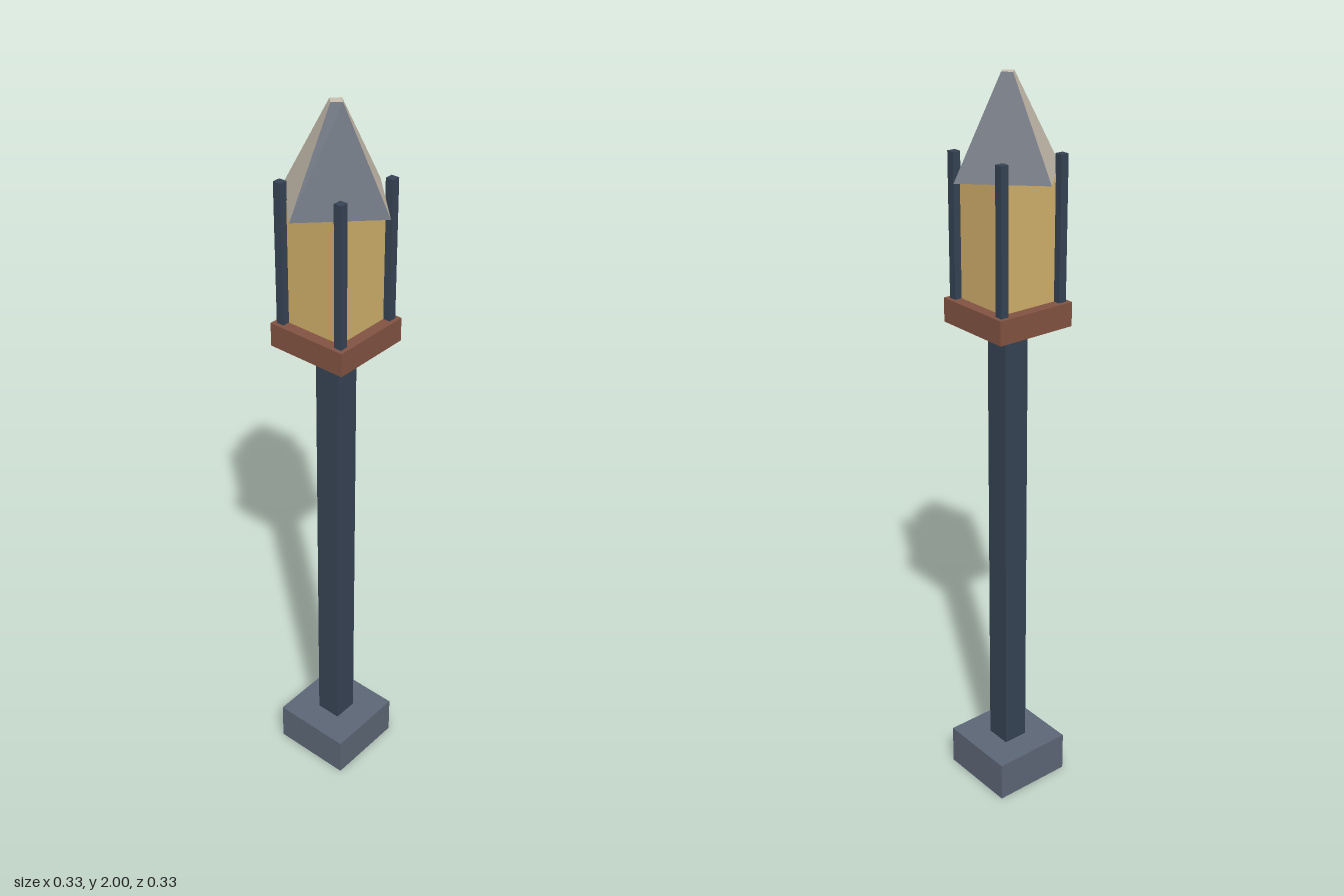
import * as THREE from 'three';

const mat = (name, color) => {
  const m = new THREE.MeshStandardMaterial({ color });
  m.name = name;
  return m;
};

export function createModel() {
  const navy = mat('navy', 0x364354);
  const stone = mat('slate stone', 0x5c6675);
  const brown = mat('brown', 0x815342);
  const amber = mat('amber glass', 0xcfae6a);
  const cream = mat('cream', 0xc8bfaf);

  const lamp = new THREE.Group();
  lamp.name = 'lampPost';

  // Square block centred on (x, z), spanning y0 to y1
  const block = (name, material, width, y0, y1, x = 0, z = 0) => {
    const mesh = new THREE.Mesh(new THREE.BoxGeometry(width, y1 - y0, width), material);
    mesh.name = name;
    mesh.position.set(x, (y0 + y1) / 2, z);
    lamp.add(mesh);
  };

  block('base', stone, 0.228, 0.001, 0.115);
  block('post', navy, 0.072, 0, 1.38);
  block('lanternFloor', brown, 0.228, 1.376, 1.44);
  block('lanternGlass', amber, 0.166, 1.44, 1.762);

  // Corner rods of the lantern
  for (const x of [-0.092, 0.092])
    for (const z of [-0.092, 0.092]) block('cornerRod', navy, 0.022, 1.44, 1.811, x, z);

  // Truncated pyramid roof turned as a diamond, sides alternating in colour
  const roofGeo = new THREE.CylinderGeometry(0.02, 0.163, 0.24, 4).toNonIndexed();
  roofGeo.computeVertexNormals();
  roofGeo.clearGroups();
  for (let i = 0; i < 4; i++) roofGeo.addGroup(i * 6, 6, i % 2);
  roofGeo.addGroup(24, 12, 1); // top cap
  roofGeo.addGroup(36, 12, 0); // underside
  const roof = new THREE.Mesh(roofGeo, [navy, cream]);
  roof.name = 'roof';
  roof.position.y = 1.88;
  lamp.add(roof);

  return lamp;
}
